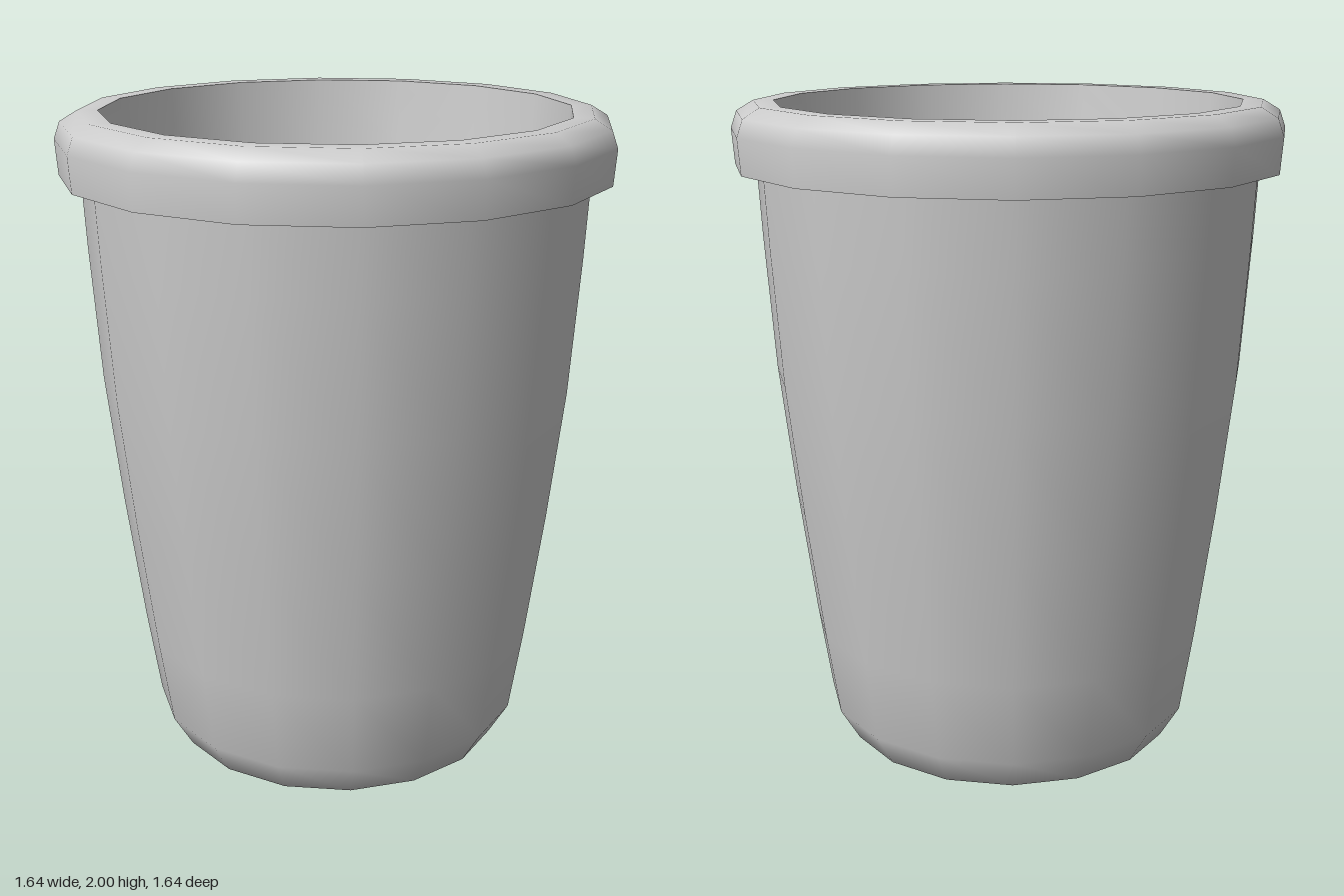
import * as THREE from 'three';

const SIDES = 16;
const LIQUID_Y = 1.55;

export function createModel() {
  const model = new THREE.Group();
  model.name = 'cupWithIce';
  const grey = new THREE.MeshStandardMaterial({ color: 0xcccccc });
  grey.name = 'grey';

  const add = (name, geometry) => {
    const mesh = new THREE.Mesh(geometry, grey);
    mesh.name = name;
    model.add(mesh);
  };
  // Each lathe is smooth inside; separate lathes meet at sharp edges
  const turned = (name, profile) =>
    add(name, new THREE.LatheGeometry(profile.map(([r, y]) => new THREE.Vector2(r, y)), SIDES));

  // Cup body
  turned('cupBottom', [[0, 0], [0.402, 0]]);
  turned('cupWall', [[0.402, 0], [0.513, 0.04], [0.572, 0.14], [0.612, 0.4], [0.665, 0.8],
    [0.71, 1.2], [0.737, 1.6], [0.748, 1.815]]);

  // Rolled rim and inside
  turned('rimUnderside', [[0.74, 1.815], [0.81, 1.815]]);
  turned('rim', [[0.81, 1.815], [0.818, 1.92], [0.8, 1.97], [0.75, 2], [0.69, 2]]);
  turned('innerWall', [[0.69, 2], [0.672, 1.8], [0.645, LIQUID_Y], [0.635, 1.48]]);
  turned('liquid', [[0.646, LIQUID_Y], [0, LIQUID_Y]]);

  // Ice: a rounded outline drawn in toward a raised peak, closed below the liquid
  const ice = (name, outline, peak, height) => {
    const curve = new THREE.CatmullRomCurve3(outline.map(([x, z]) => new THREE.Vector3(x, 0, z)), true);
    const n = 40;
    const loop = curve.getSpacedPoints(n).slice(0, n);
    // [scale of the outline, height as a share of the peak]
    const rings = [[0.8, -1], [0.97, -0.5], [1, 0.02], [0.97, 0.2], [0.88, 0.46], [0.72, 0.7],
      [0.5, 0.87], [0.25, 0.97]];
    const positions = [];
    const index = [];
    for (const [scale, lift] of rings) {
      for (const p of loop) {
        positions.push(peak[0] + (p.x - peak[0]) * scale, LIQUID_Y + lift * height,
          peak[1] + (p.z - peak[1]) * scale);
      }
    }
    for (let r = 0; r < rings.length - 1; r++) {
      for (let i = 0; i < n; i++) {
        const a = r * n + i, b = r * n + (i + 1) % n;
        index.push(a, a + n, b, b, a + n, b + n);
      }
    }
    const bottom = positions.length / 3;
    const last = (rings.length - 1) * n;
    positions.push(peak[0], LIQUID_Y - height * 1.1, peak[1], peak[0], LIQUID_Y + height, peak[1]);
    for (let i = 0; i < n; i++) {
      const j = (i + 1) % n;
      index.push(bottom, i, j, last + i, bottom + 1, last + j);
    }
    const geometry = new THREE.BufferGeometry();
    geometry.setAttribute('position', new THREE.Float32BufferAttribute(positions, 3));
    geometry.setIndex(index);
    geometry.computeVertexNormals();
    add(name, geometry);
  };

  ice('largeIceCube', [[0.2, -0.575], [0.32, -0.47], [0.45, -0.38], [0.55, -0.33], [0.595, -0.22],
    [0.5, -0.06], [0.33, 0.13], [0.22, 0.155], [0.05, 0.04], [-0.1, -0.07], [-0.155, -0.19],
    [-0.08, -0.3], [0.05, -0.43], [0.13, -0.55]], [0.2, -0.23], 0.16);
  ice('mediumIceCube', [[-0.3, -0.26], [-0.23, -0.2], [-0.19, -0.11], [0.005, 0.05], [-0.02, 0.13],
    [-0.2, 0.3], [-0.3, 0.335], [-0.38, 0.31], [-0.56, 0.13], [-0.63, 0], [-0.58, -0.1],
    [-0.42, -0.17], [-0.36, -0.24]], [-0.33, 0.05], 0.17);
  ice('smallIceCube', [[0.08, 0.18], [0.2, 0.2], [0.3, 0.21], [0.36, 0.3], [0.32, 0.42], [0.25, 0.51],
    [0.15, 0.54], [0.04, 0.53], [-0.04, 0.5], [-0.03, 0.4], [-0.04, 0.25], [0, 0.19]],
    [0.17, 0.32], 0.09);

  return model;
}
